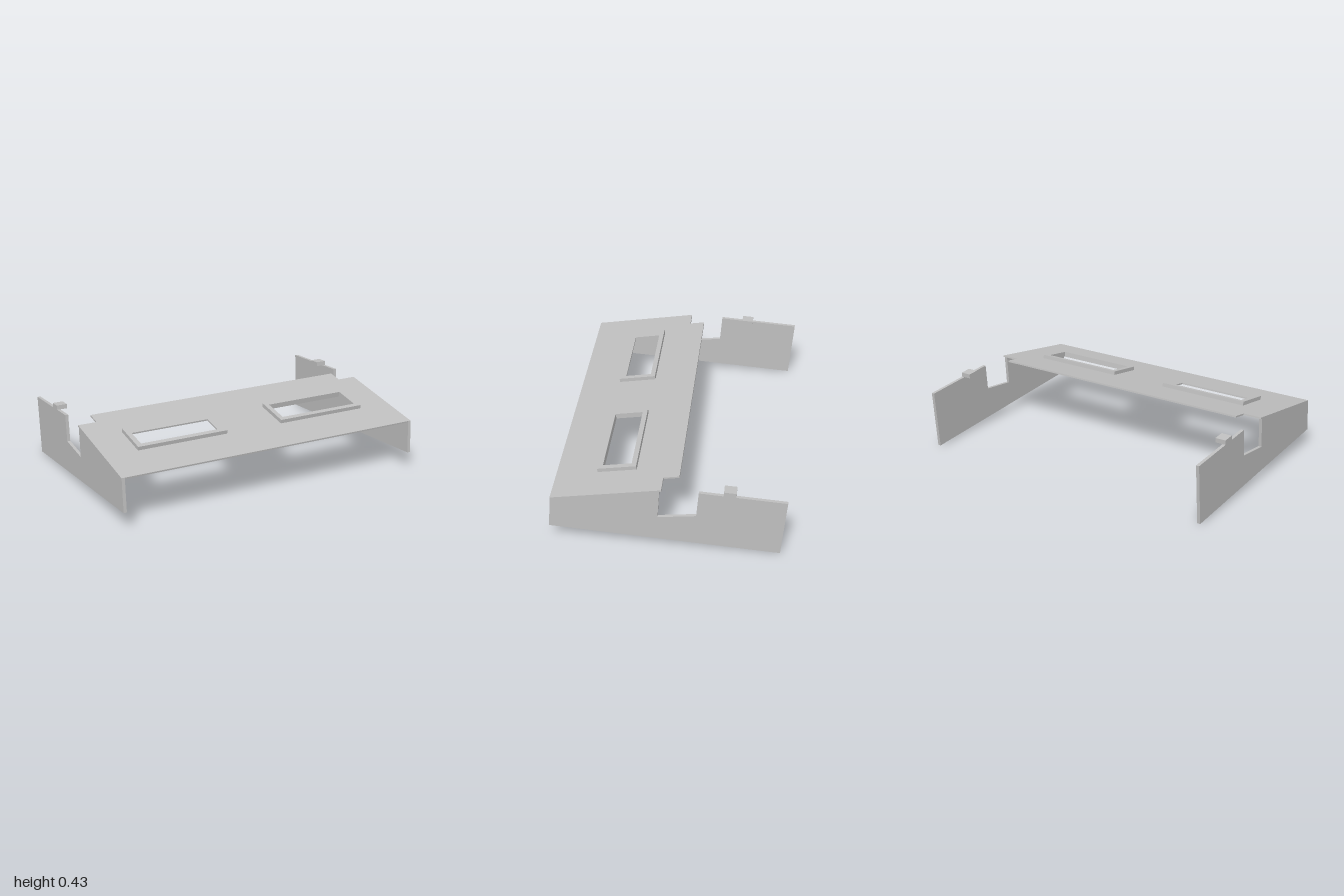
import * as THREE from 'three';

const grey = new THREE.MeshStandardMaterial({ color: 0xc0c0c0 });
grey.name = 'light grey';

const toPoints = (list) => list.map(([a, b]) => new THREE.Vector2(a, b));
const rect = (x0, x1, y0, y1) => toPoints([[x0, y0], [x1, y0], [x1, y1], [x0, y1]]);

function extrude(name, points, depth, holes = []) {
  const shape = new THREE.Shape(points);
  for (const h of holes) shape.holes.push(new THREE.Path(h));
  const mesh = new THREE.Mesh(new THREE.ExtrudeGeometry(shape, { depth, bevelEnabled: false }), grey);
  mesh.name = name;
  return mesh;
}

// Extrudes a (z, y) profile between two x positions
function sideways(name, profile, x0, x1) {
  const mesh = extrude(name, toPoints(profile), x1 - x0);
  mesh.rotation.y = -Math.PI / 2;
  mesh.position.x = x1;
  return mesh;
}

export function createModel() {
  const model = new THREE.Group();
  model.name = 'mountingCover';

  // Sloped deck, drawn flat as (x, distance up the slope), then tilted
  const deck = new THREE.Group();
  deck.name = 'deck';
  deck.position.set(0, 0.318, 0.685);
  deck.rotation.x = Math.atan2(0.117, 0.75) - Math.PI / 2;

  const openings = [-1, 1].map((s) => rect(s * 0.22, s * 0.752, 0.287, 0.462));
  const plate = extrude('topPlate', toPoints([
    [-1, 0], [1, 0], [1, 0.663], [0.88, 0.663], [0.88, 0.759],
    [-0.88, 0.759], [-0.88, 0.663], [-1, 0.663],
  ]), 0.01, openings);
  plate.position.z = -0.01;
  deck.add(plate);

  // Raised rims around both openings
  [-1, 1].forEach((s, i) => {
    const name = s > 0 ? 'leftWindowRim' : 'rightWindowRim';
    deck.add(extrude(name, rect(s * 0.19, s * 0.784, 0.255, 0.4925), 0.024, [openings[i]]));
  });
  model.add(deck);

  // Notched side panels, each with a small tab reaching inward
  const panel = [
    [0.685, 0.318], [0.7, 0.108], [-0.67, 0.002], [-0.7, 0.377],
    [-0.187, 0.415], [-0.173, 0.245], [0.053, 0.22], [0.04, 0.418],
  ];
  const tab = [[-0.332, 0.432], [-0.405, 0.427], [-0.404, 0.399], [-0.33, 0.404]];
  for (const s of [-1, 1]) {
    const side = s > 0 ? 'left' : 'right';
    const span = (inner) => (s > 0 ? [inner, 1] : [-1, -inner]);
    model.add(sideways(side + 'SidePanel', panel, ...span(0.98)));
    model.add(sideways(side + 'Tab', tab, ...span(0.933)));
  }
  return model;
}
